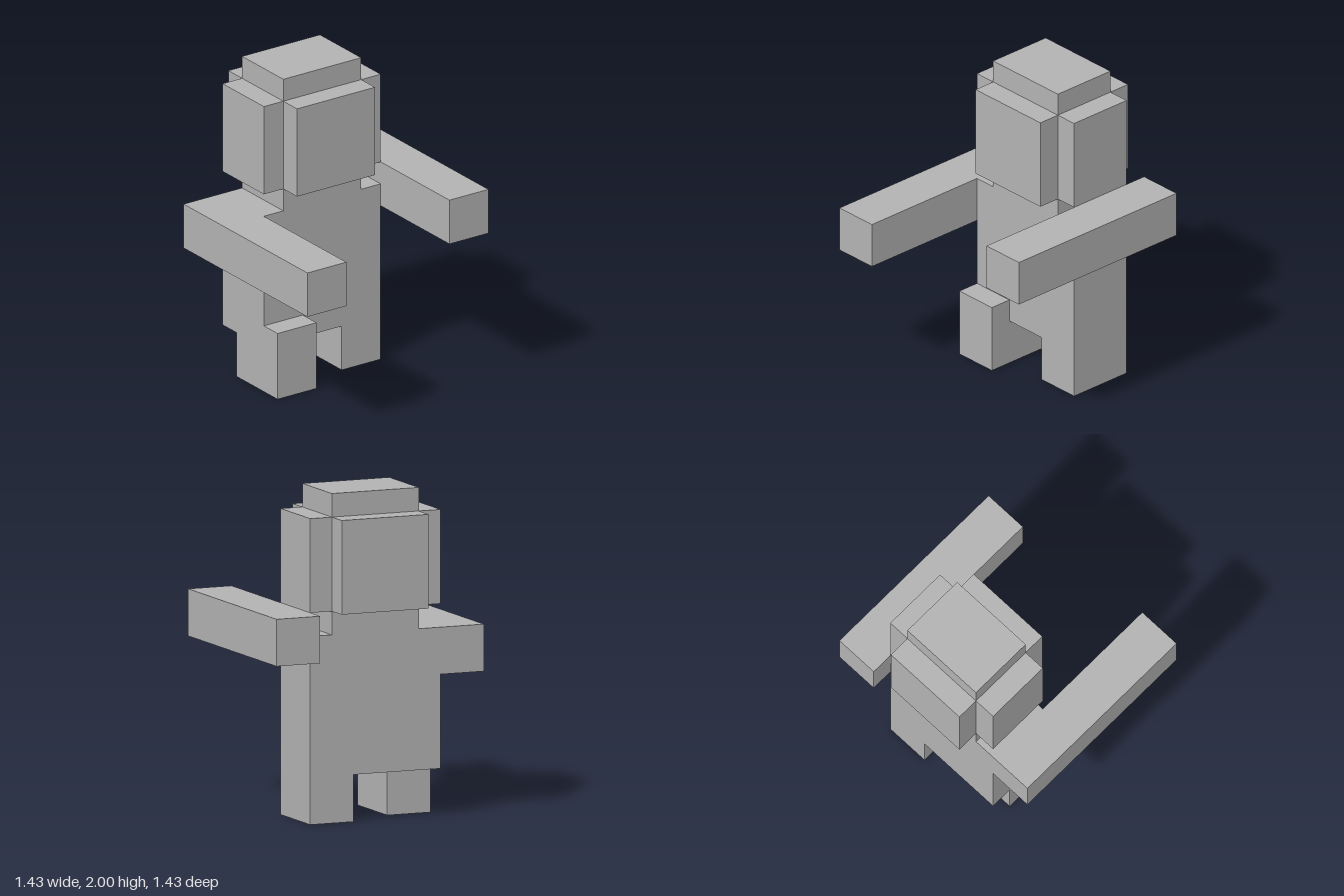
import * as THREE from 'three';

// The figure sits on a block grid, 14 blocks tall
const U = 2 / 14;

export function createModel() {
  const model = new THREE.Group();
  model.name = 'blockFigure';
  const grey = new THREE.MeshStandardMaterial({ color: 0xb3b3b3 });
  grey.name = 'grey';

  // Box from its lowest to its highest corner, in blocks
  function block(parent, name, [x0, y0, z0], [x1, y1, z1]) {
    const geometry = new THREE.BoxGeometry((x1 - x0) * U, (y1 - y0) * U, (z1 - z0) * U);
    const mesh = new THREE.Mesh(geometry, grey);
    mesh.position.set((x0 + x1) / 2 * U, (y0 + y1) / 2 * U, (z0 + z1) / 2 * U);
    mesh.name = name;
    parent.add(mesh);
  }

  function group(name) {
    const g = new THREE.Group();
    g.name = name;
    model.add(g);
    return g;
  }

  // Body
  block(model, 'torso', [-3, 2, -4], [3, 8, -1]);
  block(model, 'neck', [-2, 8, -4], [2, 9, -1]);

  // Head: core with a plate on each of its four sides
  const head = group('head');
  block(head, 'headCore', [-2, 9, -4], [2, 14, -1]);
  block(head, 'face', [-2, 9, -1], [2, 13, 0]);
  block(head, 'headBack', [-2, 9, -5], [2, 13, -4]);
  block(head, 'leftHeadSide', [2, 9, -4], [3, 13, -1]);
  block(head, 'rightHeadSide', [-3, 9, -4], [-2, 13, -1]);

  // Arms stretched forward, the left one higher and further back
  block(model, 'leftArm', [3, 7, -5], [5, 9, 4]);
  block(model, 'rightArm', [-5, 6, -4], [-3, 8, 5]);

  // Legs, the right one stepping forward and lifted in front of the torso
  block(model, 'leftLeg', [1, 0, -4], [3, 2, -1]);
  const rightLeg = group('rightLeg');
  block(rightLeg, 'rightLowerLeg', [-3, 0, -3], [-1, 2, 0]);
  block(rightLeg, 'rightKnee', [-3, 2, -1], [-1, 3, 0]);

  return model;
}
